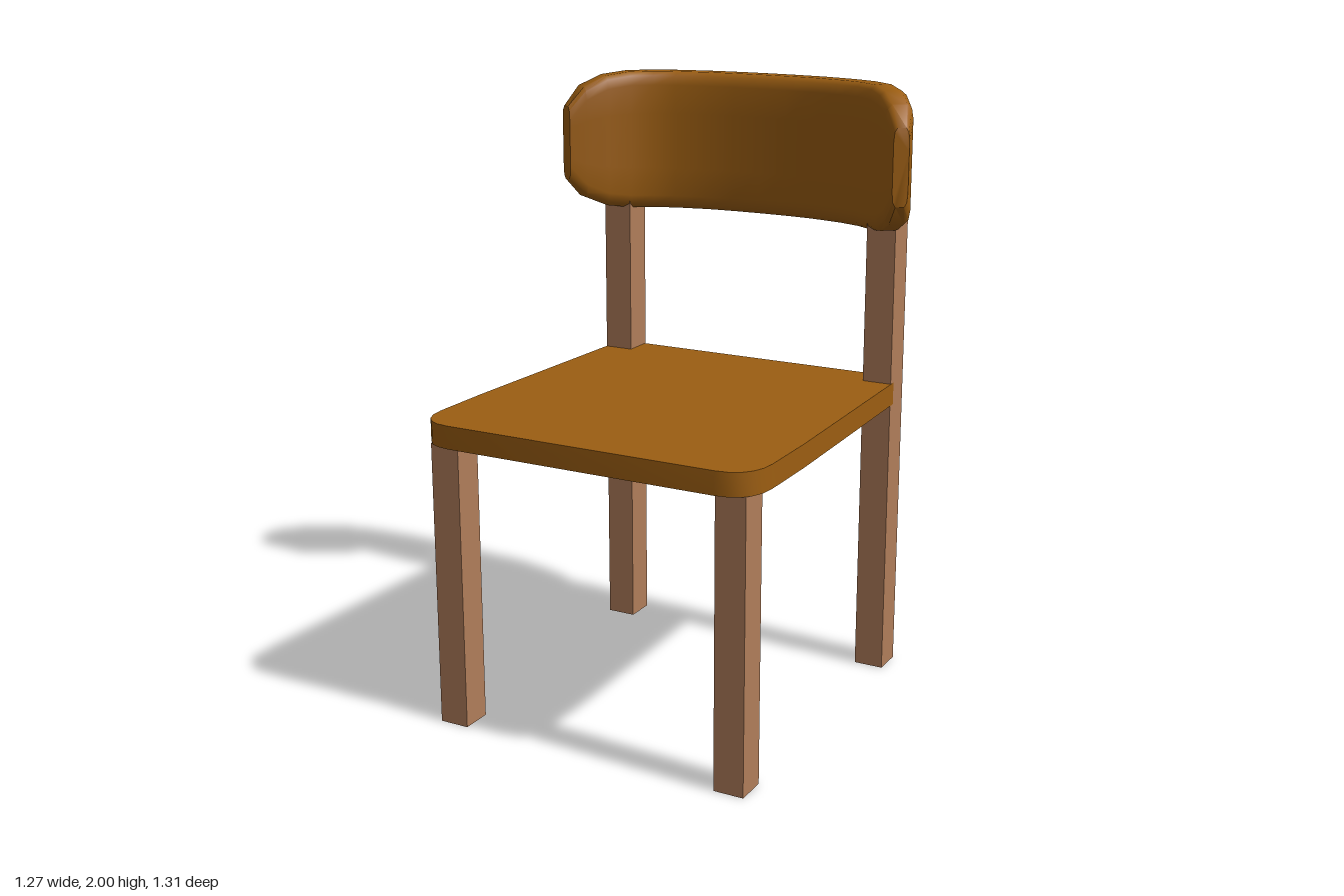
import * as THREE from 'three';
import { toCreasedNormals } from 'three/addons/utils/BufferGeometryUtils.js';

const padMaterial = new THREE.MeshStandardMaterial({ color: 0x9c5e12 });
const legMaterial = new THREE.MeshStandardMaterial({ color: 0xb07d5a });

function addLeg(group, name, x, z, height) {
  const leg = new THREE.Mesh(new THREE.BoxGeometry(0.1, height, 0.105), legMaterial);
  leg.name = name;
  leg.position.set(x, height / 2, z);
  group.add(leg);
}

// Flat board, wider at the front, with rounded front corners
function seatGeometry() {
  const s = new THREE.Shape();
  s.moveTo(-0.545, 0.55);
  s.lineTo(-0.553, 0.35);
  s.lineTo(-0.578, -0.3);
  s.lineTo(-0.58, -0.52);
  s.bezierCurveTo(-0.58, -0.6, -0.54, -0.652, -0.46, -0.652);
  s.lineTo(0.46, -0.652);
  s.bezierCurveTo(0.54, -0.652, 0.58, -0.6, 0.58, -0.52);
  s.lineTo(0.578, -0.3);
  s.lineTo(0.553, 0.35);
  s.lineTo(0.545, 0.55);
  const g = new THREE.ExtrudeGeometry(s, { depth: 0.075, bevelEnabled: false, curveSegments: 5 });
  g.rotateX(-Math.PI / 2);
  g.translate(0, 0.946, 0);
  return toCreasedNormals(g, 0.7);
}

// Curved pad: bevelled cross-sections lofted along an arc
function backrestGeometry() {
  // x, z, half thickness, half height (one side, from the centre outwards)
  const half = [
    [0, -0.605, 0.05, 0.236], [0.1, -0.603, 0.05, 0.236], [0.2, -0.595, 0.05, 0.236],
    [0.32, -0.57, 0.05, 0.236], [0.4, -0.54, 0.05, 0.236], [0.475, -0.488, 0.05, 0.235],
    [0.535, -0.425, 0.05, 0.224], [0.585, -0.36, 0.044, 0.19], [0.615, -0.308, 0.025, 0.125],
  ];
  const stations = [
    ...half.slice(1).reverse().map(([x, z, t, h]) => [-x, z, t, h]),
    ...half,
  ];
  // One quarter of the section, from mid height to the rim
  const quarter = (t, h) => [[t, h * 0.4], [t, h - 0.045], [t * 0.88, h - 0.014], [t * 0.55, h]];
  const positions = [], index = [];
  let n = 0;
  stations.forEach(([x, z, t, h], i) => {
    const a = stations[Math.max(i - 1, 0)];
    const b = stations[Math.min(i + 1, stations.length - 1)];
    const tangent = new THREE.Vector2(b[0] - a[0], b[1] - a[1]).normalize();
    const q = quarter(t, h);
    const ring = [
      ...q,
      ...q.map(([u, v]) => [-u, v]).reverse(),
      ...q.map(([u, v]) => [-u, -v]),
      ...q.map(([u, v]) => [u, -v]).reverse(),
    ];
    n = ring.length;
    for (const [u, v] of ring) positions.push(x + tangent.y * u, 1.765 + v, z - tangent.x * u);
  });
  const last = stations.length - 1;
  for (let i = 0; i < last; i++) {
    for (let j = 0; j < n; j++) {
      const p = i * n + j, r = i * n + (j + 1) % n;
      index.push(p, r, p + n, r, r + n, p + n);
    }
  }
  // End caps
  for (let j = 1; j < n - 1; j++) {
    index.push(0, j + 1, j);
    index.push(last * n, last * n + j, last * n + j + 1);
  }
  const g = new THREE.BufferGeometry();
  g.setAttribute('position', new THREE.Float32BufferAttribute(positions, 3));
  g.setIndex(index);
  return toCreasedNormals(g, 0.75);
}

export function createModel() {
  const chair = new THREE.Group();
  chair.name = 'chair';

  const seat = new THREE.Mesh(seatGeometry(), padMaterial);
  seat.name = 'seat';
  const backrest = new THREE.Mesh(backrestGeometry(), padMaterial);
  backrest.name = 'backrest';
  chair.add(seat, backrest);

  for (const [side, s] of [['Left', 1], ['Right', -1]]) {
    addLeg(chair, 'front' + side + 'Leg', s * 0.498, 0.568, 0.946);
    addLeg(chair, 'rear' + side + 'Leg', s * 0.498, -0.502, 1.9);
  }
  return chair;
}
